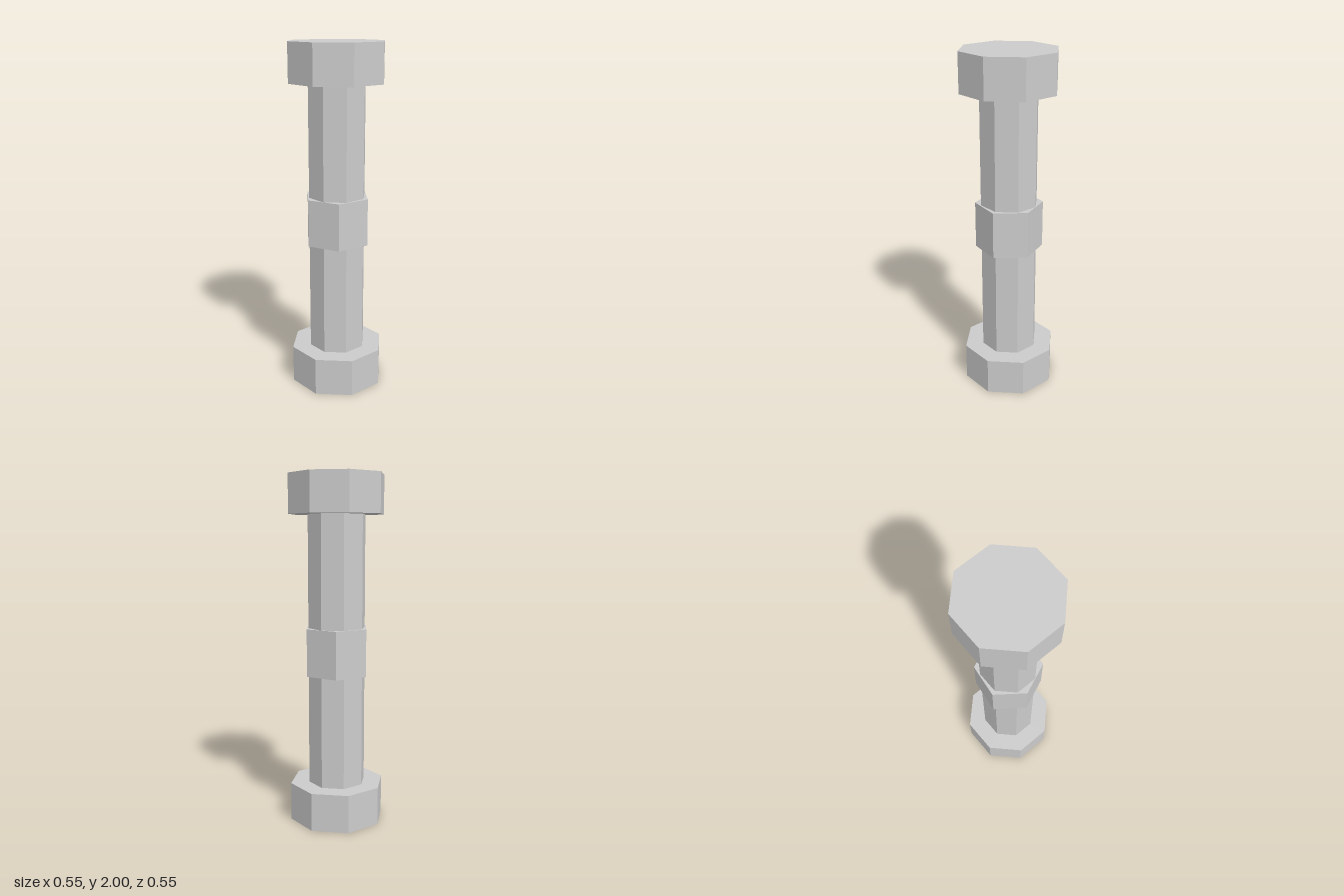
import * as THREE from 'three';

export function createModel() {
  const group = new THREE.Group();
  const material = new THREE.MeshStandardMaterial({ color: 0xcccccc, flatShading: true });

  // Upright prism between two heights
  function prism(name, radius, sides, bottom, top, turn = 0) {
    const geometry = new THREE.CylinderGeometry(radius, radius, top - bottom, sides);
    geometry.rotateY(turn);
    const mesh = new THREE.Mesh(geometry, material);
    mesh.name = name;
    mesh.position.y = (bottom + top) / 2;
    group.add(mesh);
  }

  // Octagonal end weights
  prism('bottomWeight', 0.277, 8, 0, 0.221);
  prism('topWeight', 0.277, 8, 1.779, 2);

  // Octagonal shaft joining them
  prism('shaft', 0.167, 8, 0.221, 1.779);

  // Hexagonal collar at mid-height, corners pointing sideways
  prism('collar', 0.194, 6, 0.866, 1.139, Math.PI / 6);

  return group;
}
